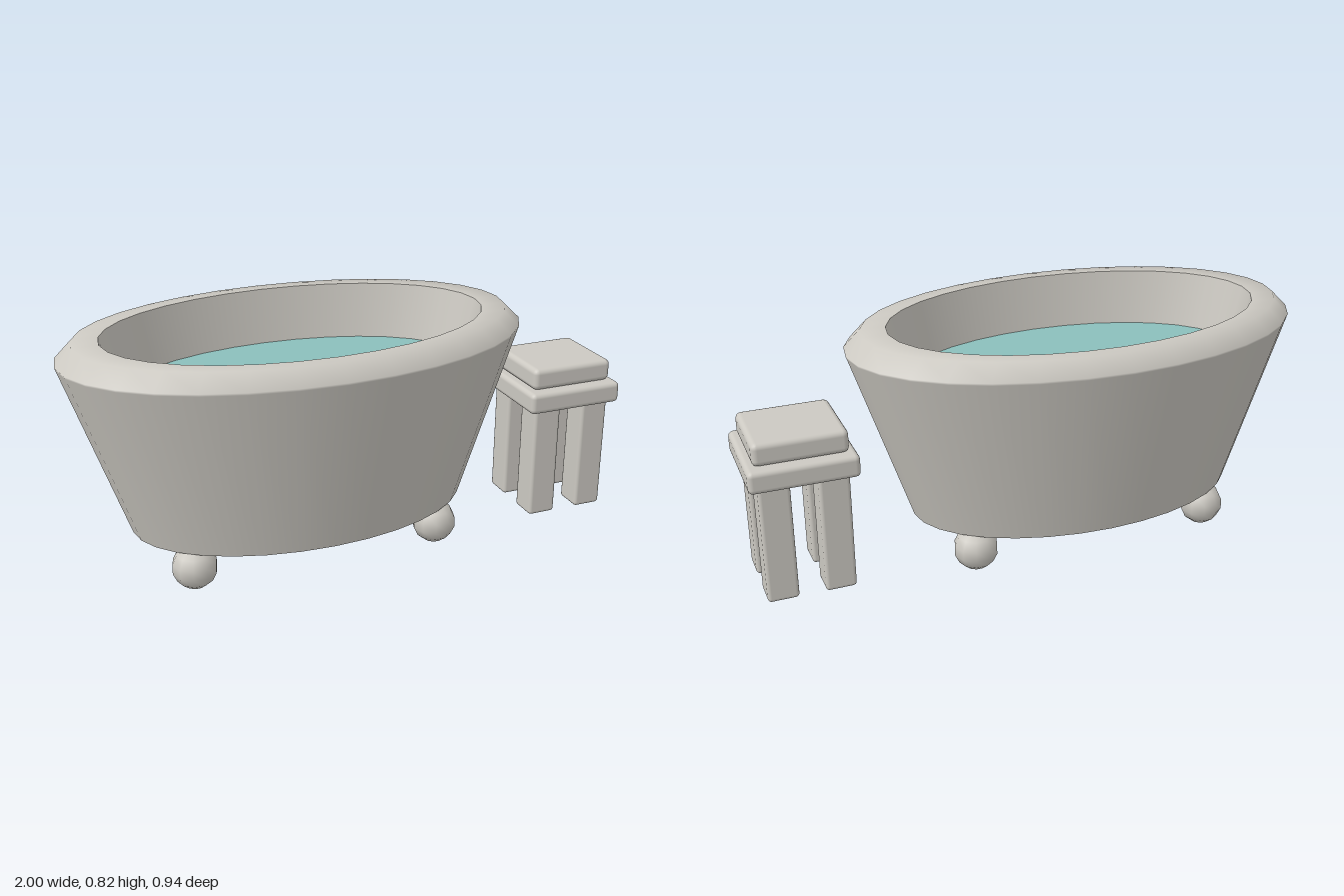
import * as THREE from 'three';
import { RoundedBoxGeometry } from 'three/addons/geometries/RoundedBoxGeometry.js';

const ceramic = new THREE.MeshStandardMaterial({ name: 'warm grey', color: 0xccc9c2 });
const water = new THREE.MeshStandardMaterial({ name: 'water teal', color: 0x8bbfbc });

const SEGMENTS = 32;
const OVAL = 0.58; // depth of the tub relative to its length

function addMesh(parent, name, geometry, material, x = 0, y = 0, z = 0) {
  const mesh = new THREE.Mesh(geometry, material);
  mesh.name = name;
  mesh.position.set(x, y, z);
  parent.add(mesh);
  return mesh;
}

// Lathe squashed into an oval; points are [radius, height]
function ovalLathe(points) {
  const profile = points.map(([r, y]) => new THREE.Vector2(r, y));
  return new THREE.LatheGeometry(profile, SEGMENTS).scale(1, 1, OVAL);
}

function ovalDisc(radius, facing) {
  return new THREE.CircleGeometry(radius, SEGMENTS).rotateX(-facing * Math.PI / 2).scale(1, 1, OVAL);
}

function createTub() {
  const tub = new THREE.Group();
  tub.name = 'bathtub';
  tub.position.x = -0.19;

  // Flared shell with bevelled rim; creases where the pieces meet
  addMesh(tub, 'outerShell', ovalLathe([[0.6, 0.145], [0.807, 0.76], [0.81, 0.768], [0.752, 0.825], [0.665, 0.825]]), ceramic);
  addMesh(tub, 'innerWall', ovalLathe([[0.665, 0.825], [0.62, 0.63], [0.53, 0.24]]), ceramic);
  addMesh(tub, 'innerFloor', ovalDisc(0.53, 1), ceramic, 0, 0.24);
  addMesh(tub, 'underside', ovalDisc(0.6, -1), ceramic, 0, 0.145);
  addMesh(tub, 'waterSurface', ovalDisc(0.62, 1), water, 0, 0.63);

  // Ball feet
  const ball = new THREE.SphereGeometry(0.078, 10, 7);
  for (const x of [-0.44, 0.44]) {
    for (const z of [-0.183, 0.183]) addMesh(tub, 'ballFoot', ball, ceramic, x, 0.078, z);
  }
  return tub;
}

function createStool() {
  const stool = new THREE.Group();
  stool.name = 'stool';
  stool.position.x = 0.815;

  addMesh(stool, 'seat', new RoundedBoxGeometry(0.365, 0.078, 0.36, 2, 0.018), ceramic, 0, 0.457);
  addMesh(stool, 'cushion', new RoundedBoxGeometry(0.315, 0.08, 0.29, 2, 0.02), ceramic, 0, 0.535);

  const leg = new RoundedBoxGeometry(0.106, 0.425, 0.106, 2, 0.013);
  for (const x of [-0.098, 0.098]) {
    for (const z of [-0.098, 0.098]) addMesh(stool, 'leg', leg, ceramic, x, 0.2125, z);
  }
  return stool;
}

export function createModel() {
  const model = new THREE.Group();
  model.name = 'bathtubWithStool';
  model.add(createTub(), createStool());
  return model;
}
